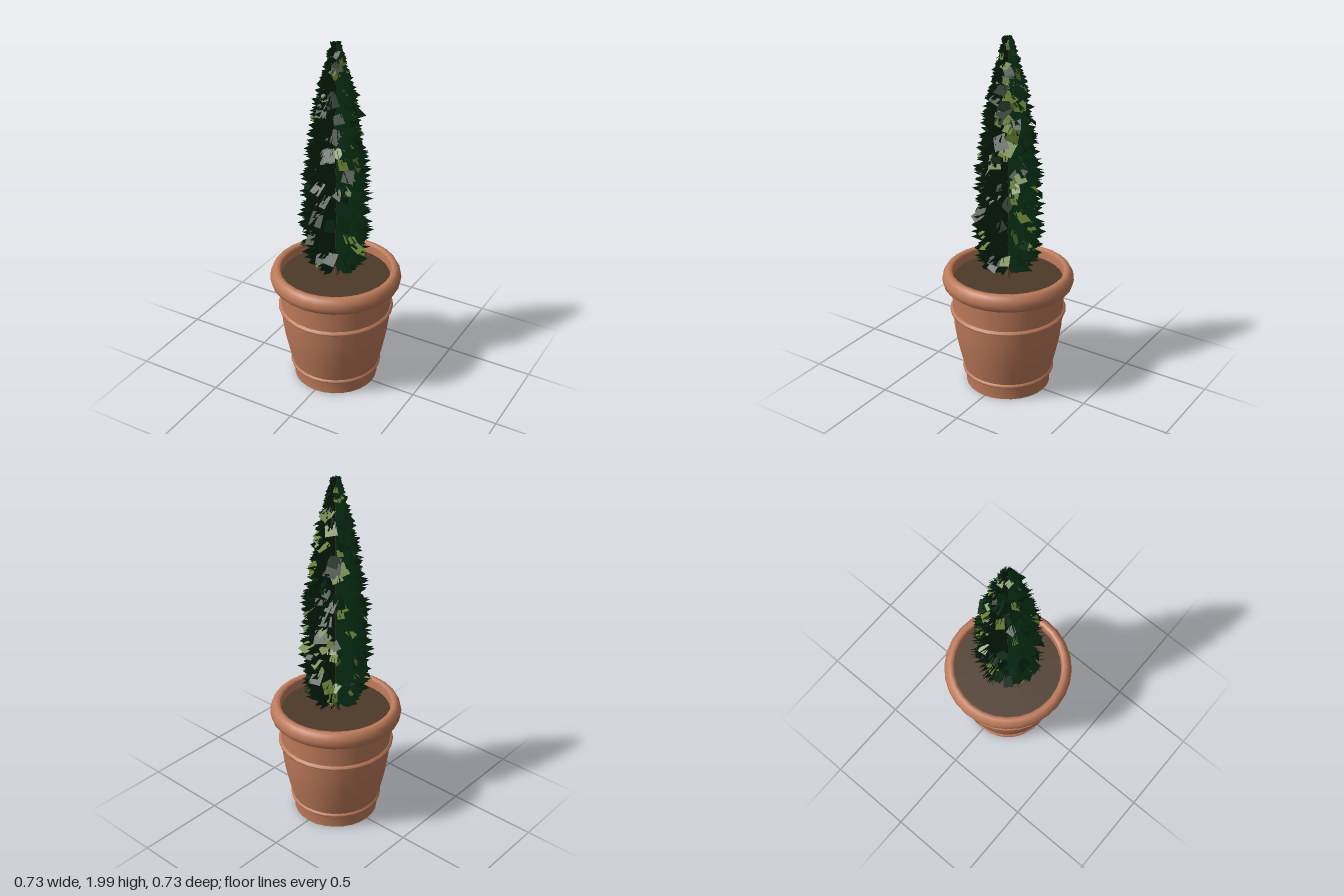
import * as THREE from 'three';

const mat = (name, color, side = THREE.FrontSide) => {
  const m = new THREE.MeshStandardMaterial({ color, side });
  m.name = name;
  return m;
};

// small seeded generator
function seeded(seed) {
  return () => {
    seed = (seed * 1664525 + 1013904223) % 4294967296;
    return seed / 4294967296;
  };
}

// outer radius of the foliage at height y
const OUTLINE = [[0.7, 0.16], [0.8, 0.19], [0.92, 0.21], [1.28, 0.195], [1.45, 0.165],
  [1.6, 0.14], [1.75, 0.105], [1.87, 0.065], [1.95, 0.04], [2.0, 0.02]];
function radiusAt(y) {
  for (let i = 1; i < OUTLINE.length; i++) {
    const [y0, r0] = OUTLINE[i - 1], [y1, r1] = OUTLINE[i];
    if (y <= y1) return THREE.MathUtils.lerp(r0, r1, Math.max(0, (y - y0) / (y1 - y0)));
  }
  return 0.02;
}

// unindexed mesh from a flat list of triangle corners
function triangles(name, positions, material) {
  const g = new THREE.BufferGeometry();
  g.setAttribute('position', new THREE.Float32BufferAttribute(positions, 3));
  g.computeVertexNormals();
  const mesh = new THREE.Mesh(g, material);
  mesh.name = name;
  return mesh;
}

export function createModel() {
  const group = new THREE.Group();
  group.name = 'pottedTree';
  const clay = mat('terracotta', 0xbd7a5a);
  const earth = mat('soil', 0x4d3929);
  const bark = mat('bark', 0x6e4a33);
  const dark = mat('darkGreen', 0x05260f, THREE.DoubleSide);
  const light = mat('oliveGreen', 0x667f35, THREE.DoubleSide);

  const add = (name, geometry, material, y = 0) => {
    const mesh = new THREE.Mesh(geometry, material);
    mesh.name = name;
    mesh.position.y = y;
    group.add(mesh);
    return mesh;
  };
  const lathe = (pts) => new THREE.LatheGeometry(pts.map(([r, y]) => new THREE.Vector2(r, y)), 28);

  // pot: foot, bellied body, collar, rolled rim with inner wall
  add('potBase', new THREE.CircleGeometry(0.235, 28).rotateX(Math.PI / 2), clay);
  add('potFoot', lathe([[0.237, 0], [0.237, 0.04], [0.242, 0.08]]), clay);
  add('footRidge', lathe([[0.242, 0.08], [0.256, 0.084], [0.258, 0.092], [0.248, 0.1]]), clay);
  add('potBody', lathe([[0.248, 0.098], [0.268, 0.18], [0.287, 0.27], [0.3, 0.36], [0.306, 0.45]]), clay);
  add('collarRidge', lathe([[0.306, 0.448], [0.321, 0.451], [0.322, 0.46], [0.308, 0.468]]), clay);
  add('potCollar', lathe([[0.307, 0.465], [0.309, 0.61]]), clay);
  add('potRim', lathe([[0.305, 0.603], [0.34, 0.603], [0.357, 0.618], [0.363, 0.645],
    [0.358, 0.668], [0.346, 0.69], [0.33, 0.699], [0.312, 0.697], [0.305, 0.685], [0.303, 0.62]]), clay);
  add('soil', new THREE.CircleGeometry(0.304, 28).rotateX(-Math.PI / 2), earth, 0.64);

  // trunk
  add('trunk', new THREE.CylinderGeometry(0.004, 0.011, 1.32, 8), bark, 1.3);

  // upright needle sprays: narrow vertical triangles fanning from the trunk
  const rand = seeded(11);
  const needles = [];
  const FINS = 18;
  for (let f = 0; f < FINS; f++) {
    const count = 66;
    for (let i = 0; i < count; i++) {
      const y = 0.715 + 1.265 * (i + rand() * 0.8) / count;
      const a = (f + (rand() - 0.5) * 0.9) / FINS * Math.PI * 2;
      const r = radiusAt(y) * (0.74 + 0.28 * rand());
      const h = 0.013 + 0.03 * rand() * (1.2 - (y - 0.7) * 0.6);
      const c = Math.cos(a), s = Math.sin(a);
      const m = r * 0.6;
      const tip = Math.min(1.995, y + (rand() - 0.3) * 0.025);
      const top = Math.min(1.99, y + h), low = Math.max(0.7, y - h);
      // inner blade, then pointed end
      needles.push(
        0, low, 0, m * c, low, m * s, m * c, top, m * s,
        0, low, 0, m * c, top, m * s, 0, top, 0,
        m * c, low, m * s, r * c, tip, r * s, m * c, top, m * s);
    }
  }
  group.add(triangles('needleSprays', needles, dark));

  // broad tilted leaf flakes; the olive ones gather at the back and sides
  function flakes(count, aMid, aSpread, sizeMin, sizeMax, yMin = 0.75) {
    const out = [];
    const o = new THREE.Object3D();
    o.rotation.order = 'YXZ';
    for (let i = 0; i < count; i++) {
      const y = yMin + (1.96 - yMin) * (i + rand()) / count;
      const a = aMid + (rand() - 0.5) * aSpread;
      const R = radiusAt(y);
      const w = Math.min(sizeMin + (sizeMax - sizeMin) * rand(), R * 0.6);
      const r = R * (0.5 + 0.3 * rand());
      o.position.set(Math.cos(a) * r, y, Math.sin(a) * r);
      o.rotation.set(-0.3 - 0.8 * rand(), Math.PI / 2 - a + (rand() - 0.5) * 1.4, (rand() - 0.5) * 1.2);
      o.updateMatrix();
      const q = [[-1, -1], [1, -1], [0.8, 1], [-0.9, 0.7]].map(([u, v]) =>
        new THREE.Vector3(u * w * 0.5, v * w * 0.6, 0).applyMatrix4(o.matrix));
      for (const k of [0, 1, 2, 0, 2, 3]) out.push(q[k].x, Math.min(q[k].y, 2), q[k].z);
    }
    return out;
  }
  group.add(triangles('darkLeaves', flakes(90, 0, Math.PI * 2, 0.04, 0.08), dark));
  group.add(triangles('oliveLeavesBack', flakes(50, -Math.PI / 2 + 0.4, 3.4, 0.035, 0.075), light));
  group.add(triangles('oliveLeavesAround', flakes(26, 0, Math.PI * 2, 0.03, 0.06), light));

  return group;
}
